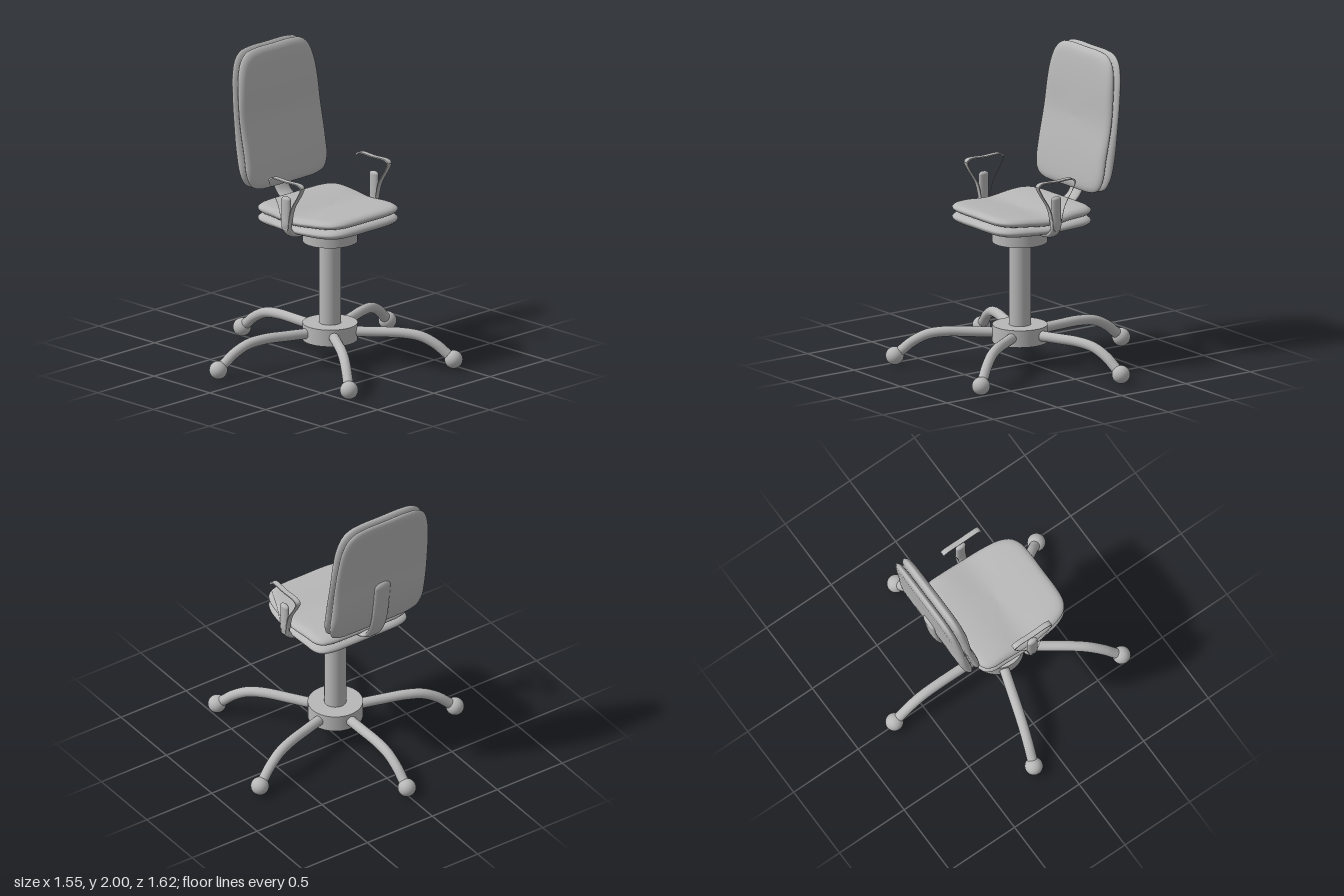
import * as THREE from 'three';
import { toCreasedNormals } from 'three/addons/utils/BufferGeometryUtils.js';

const grey = new THREE.MeshStandardMaterial({ color: 0xb8b8b8 });
grey.name = 'grey';
const AXIS = 0.07; // x of the centre column

const v = (x, y, z = 0) => new THREE.Vector3(x, y, z);

function add(parent, name, geometry, x = 0, y = 0, z = 0) {
  const mesh = new THREE.Mesh(geometry, grey);
  mesh.name = name;
  mesh.position.set(x, y, z);
  parent.add(mesh);
  return mesh;
}

function tube(points, radius, segments = 40) {
  return new THREE.TubeGeometry(new THREE.CatmullRomCurve3(points), segments, radius, 20);
}

// Cushion outline: u runs along its length (0..1), w is the half width
const half = [[0, 0.14], [0.006, 0.25], [0.035, 0.32], [0.1, 0.35], [0.25, 0.355], [0.5, 0.355],
  [0.7, 0.345], [0.85, 0.325], [0.94, 0.29], [0.985, 0.235], [1, 0.15]];
const outline = new THREE.CatmullRomCurve3([
  v(0, 0), ...half.map(([u, w]) => v(u, w)), v(1, 0),
  ...half.slice().reverse().map(([u, w]) => v(u, -w)),
], true).getSpacedPoints(96).slice(0, 96);

// Edge profile: [scale of outline, height from -1 to 1]
const upper = [[0, 1], [0.2, 1], [0.4, 1], [0.6, 1], [0.75, 1], [0.85, 0.97], [0.91, 0.88],
  [0.95, 0.72], [0.98, 0.45], [0.995, 0.2]];
const profile = [...upper, [1, 0], ...upper.slice().reverse().map(([s, h]) => [s, -h])];

// Smooth function of u through five evenly spaced values
function along(values) {
  const curve = new THREE.CatmullRomCurve3(values.map((c, i) => v(i / 4, c)), false, 'catmullrom');
  return (u) => curve.getPoint(Math.min(1, Math.max(0, u))).y;
}

// Padded shell between two bent surfaces, mapped into place by put(u, c, w)
function cushion(low, high, put) {
  const lo = along(low), hi = along(high), pos = [], index = [], n = outline.length;
  profile.forEach(([s, h], i) => {
    outline.forEach((p, j) => {
      const u = 0.5 + (p.x - 0.5) * s;
      const a = lo(u), b = hi(u);
      pos.push(...put(u, (a + b) / 2 + h * (b - a) / 2, p.y * s));
      if (i === profile.length - 1) return;
      const k = (j + 1) % n, r = i * n, q = r + n;
      index.push(r + j, q + j, q + k, r + j, q + k, r + k);
    });
  });
  const g = new THREE.BufferGeometry();
  g.setAttribute('position', new THREE.Float32BufferAttribute(pos, 3));
  g.setIndex(index);
  g.computeVertexNormals();
  return g;
}

function makeBase() {
  const base = new THREE.Group();
  base.name = 'base';
  add(base, 'baseHub', new THREE.CylinderGeometry(0.175, 0.175, 0.11, 48), AXIS, 0.21);
  add(base, 'column', new THREE.CylinderGeometry(0.07, 0.07, 0.58, 40), AXIS, 0.53);
  add(base, 'seatHub', new THREE.CylinderGeometry(0.175, 0.175, 0.125, 48), AXIS, 0.868);

  // Five arched legs, each on a ball foot
  const legShape = tube([v(0.12, 0.21), v(0.3, 0.215), v(0.46, 0.217), v(0.58, 0.2),
    v(0.68, 0.15), v(0.74, 0.1), v(0.79, 0.058)], 0.033);
  const ball = new THREE.SphereGeometry(0.058, 32, 20);
  for (let i = 0; i < 5; i++) {
    const leg = new THREE.Group();
    leg.name = 'leg' + (i + 1);
    leg.position.x = AXIS;
    leg.rotation.y = Math.PI + i * Math.PI * 2 / 5;
    add(leg, 'legTube', legShape);
    add(leg, 'ballFoot', ball, 0.79, 0.058);
    base.add(leg);
  }
  return base;
}

function makeArm(side) {
  const arm = new THREE.Group();
  arm.name = side > 0 ? 'leftArmrest' : 'rightArmrest';

  // Flat bar from under the seat, bent upwards, with a rounded tip
  const bar = add(arm, 'armBar', tube([v(0, 0.915, side * 0.1), v(0, 0.915, side * 0.2),
    v(0, 0.917, side * 0.31), v(0, 0.935, side * 0.36), v(0, 0.98, side * 0.387),
    v(0, 1.06, side * 0.39), v(0, 1.16, side * 0.39)], 0.02), AXIS);
  bar.scale.x = 1.85;
  const tip = add(arm, 'armBarTip', new THREE.SphereGeometry(0.02, 20, 14), AXIS, 1.16, side * 0.39);
  tip.scale.x = 1.85;

  // Thin triangular loop
  const pts = new THREE.CatmullRomCurve3([v(-0.055, 1.28), v(0.07, 1.28), v(0.195, 1.28),
    v(0.215, 1.262), v(0.198, 1.22), v(0.13, 1.11), v(0.105, 1.02), v(0.09, 0.96), v(0.05, 0.96),
    v(0.035, 1.02), v(0.01, 1.11), v(-0.058, 1.22), v(-0.075, 1.262)], true).getSpacedPoints(90).slice(0, 90);
  const flat = (s) => pts.map((p) => new THREE.Vector2(0.07 + (p.x - 0.07) * s, 1.16 + (p.y - 1.16) * s));
  const shape = new THREE.Shape(flat(1));
  shape.holes.push(new THREE.Path(flat(0.935)));
  const loop = new THREE.ExtrudeGeometry(shape, { depth: 0.035, bevelEnabled: false });
  loop.translate(0, 0, -0.0175);
  add(arm, 'armLoop', toCreasedNormals(loop, 0.6), 0, 0, side * 0.386);
  return arm;
}

export function createModel() {
  const chair = new THREE.Group();
  chair.name = 'officeChair';
  chair.add(makeBase());

  // Seat: two stacked pads, facing +x
  const seatPut = (u, c, w) => [-0.28 + 0.71 * u, c, w];
  const seatSeam = [0.995, 0.985, 0.972, 0.985, 0.995];
  add(chair, 'seatPad', cushion(seatSeam, [1.06, 1.055, 1.032, 1.045, 1.055], seatPut));
  add(chair, 'seatShell', cushion([0.928, 0.922, 0.92, 0.923, 0.93], seatSeam, seatPut));

  // Backrest: front pad and rear shell
  const backPut = (u, c, w) => [c, 1.11 + 0.89 * u, -w];
  const backSeam = [-0.33, -0.365, -0.405, -0.437, -0.47];
  add(chair, 'backPad', cushion(backSeam, [-0.277, -0.31, -0.355, -0.375, -0.405], backPut));
  add(chair, 'backShell', cushion([-0.38, -0.435, -0.458, -0.487, -0.52], backSeam, backPut));

  // Flat curved strut joining seat and backrest
  const strut = add(chair, 'backStrut', tube([v(-0.2, 0.995), v(-0.28, 1.005), v(-0.34, 1.04),
    v(-0.385, 1.11), v(-0.415, 1.2), v(-0.434, 1.32), v(-0.45, 1.46)], 0.02));
  strut.scale.z = 3;
  const end = add(chair, 'backStrutTip', new THREE.SphereGeometry(0.02, 20, 14), -0.45, 1.46);
  end.scale.set(1, 2, 3);

  for (const side of [1, -1]) chair.add(makeArm(side));
  return chair;
}
